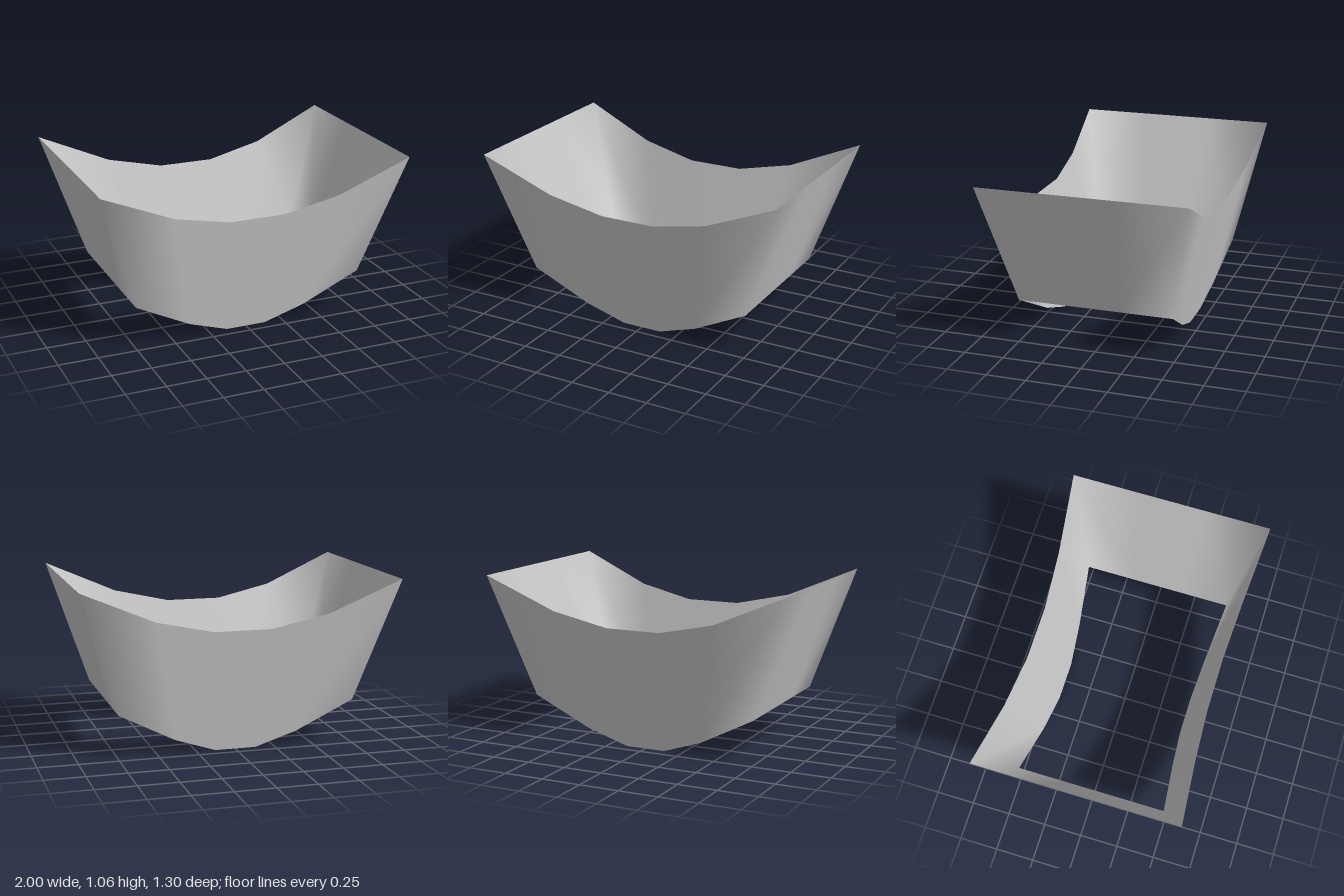
import * as THREE from 'three';

// Half of the front edge, from the middle to the corner: [x, y, z]
const rimHalf = [[0.18, 0.78, 0.59], [0.54, 0.86, 0.61], [1, 1.06, 0.65]];
const hemHalf = [[0.13, 0, 0.43], [0.39, 0.09, 0.45], [0.75, 0.28, 0.49]];

// Mirrors a half edge into a closed loop, with the side edges split in three
function closedLoop(half) {
  const front = [...half].reverse().map(([x, y, z]) => [-x, y, z]).concat(half);
  const [cx, cy, cz] = half[half.length - 1];
  const side = [[cx, cy, cz / 3], [cx, cy, -cz / 3]];
  const halfRound = [...front, ...side];
  return halfRound.concat(halfRound.map(([x, y, z]) => [-x, y, -z]));
}

export function createModel() {
  const group = new THREE.Group();
  group.name = 'flaredBand';

  // Thin flared wall joining the lower hem to the upper rim
  const hem = closedLoop(hemHalf), rim = closedLoop(rimHalf);
  const n = hem.length;
  const index = [];
  for (let i = 0; i < n; i++) {
    const j = (i + 1) % n;
    index.push(i, j, n + j, i, n + j, n + i);
  }
  const geometry = new THREE.BufferGeometry();
  geometry.setAttribute('position', new THREE.Float32BufferAttribute([...hem, ...rim].flat(), 3));
  geometry.setIndex(index);
  geometry.computeVertexNormals();

  const wall = new THREE.Mesh(
    geometry,
    new THREE.MeshStandardMaterial({ color: 0xcccccc, side: THREE.DoubleSide })
  );
  wall.name = 'bandWall';
  group.add(wall);
  return group;
}
